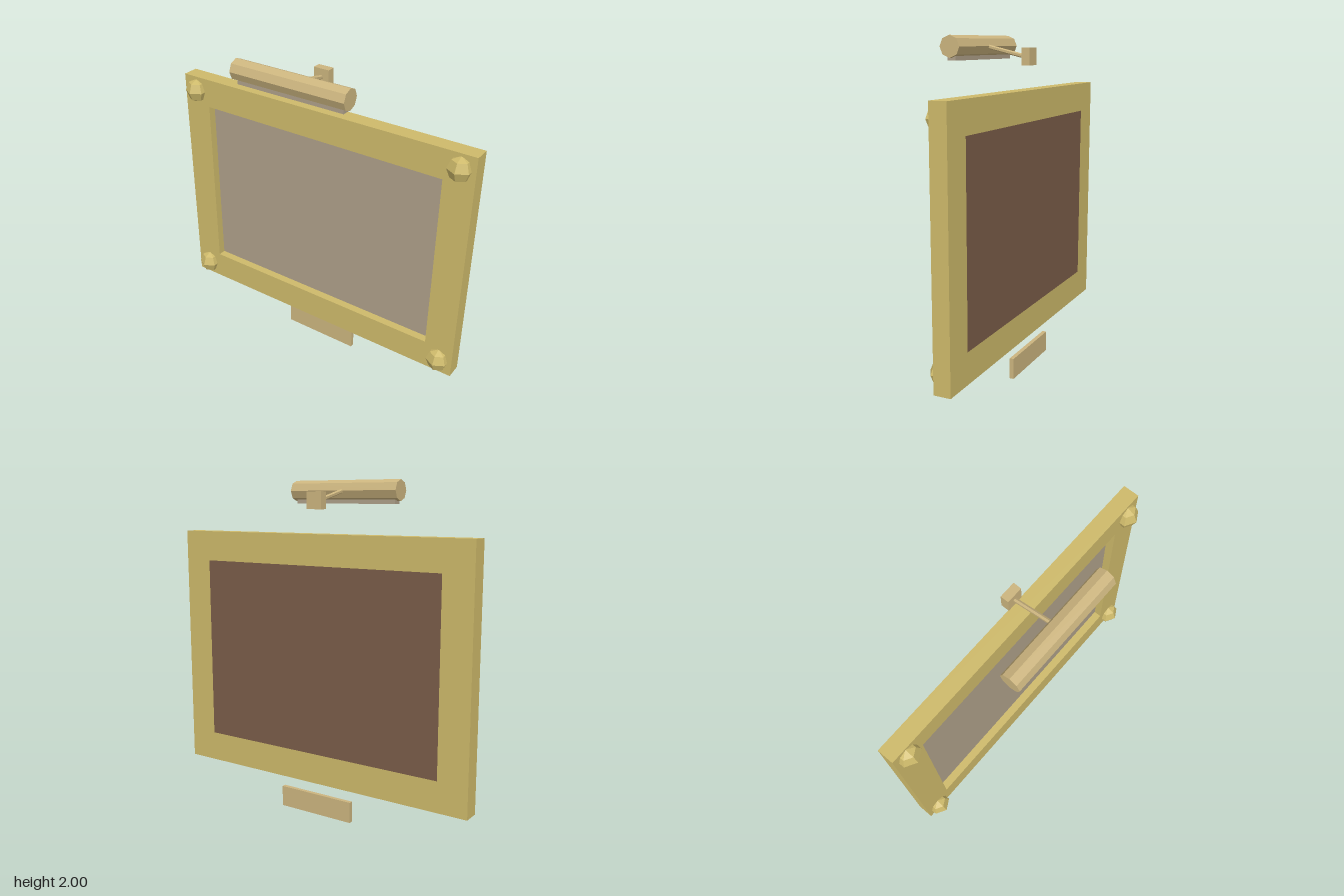
import * as THREE from 'three';

const mat = (name, color) => {
  const m = new THREE.MeshStandardMaterial({ color, flatShading: true });
  m.name = name;
  return m;
};

export function createModel() {
  const gold = mat('gold', 0xcdb96a);
  const brass = mat('brass', 0xcbb47e);
  const canvas = mat('canvas', 0xad9f88);
  const backing = mat('brown backing', 0x7a5c48);

  const model = new THREE.Group();
  model.name = 'framedPictureWithLamp';
  const add = (name, geometry, material, x, y, z) => {
    const mesh = new THREE.Mesh(geometry, material);
    mesh.name = name;
    mesh.position.set(x, y, z);
    model.add(mesh);
    return mesh;
  };
  const box = (name, material, w, h, d, x, y, z) =>
    add(name, new THREE.BoxGeometry(w, h, d), material, x, y, z);

  // Frame: a rectangle with a rectangular opening
  const midY = 0.9425;
  const rect = (path, w, h) => path.moveTo(-w, -h).lineTo(w, -h).lineTo(w, h).lineTo(-w, h).closePath();
  const outline = rect(new THREE.Shape(), 1, 0.7475);
  outline.holes.push(rect(new THREE.Path(), 0.815, 0.565));
  add('frame', new THREE.ExtrudeGeometry(outline, { depth: 0.1, bevelEnabled: false }), gold, 0, midY, -0.2);

  // Picture set into the opening, with its backing flush at the rear
  box('picture', canvas, 1.63, 1.13, 0.005, 0, midY, -0.1525);
  box('backing', backing, 1.63, 1.13, 0.045, 0, midY, -0.1775);

  // Faceted corner knobs
  const knob = new THREE.SphereGeometry(0.075, 6, 4).rotateY(Math.PI / 2);
  for (const x of [-0.908, 0.908])
    for (const y of [0.286, 1.599]) add('cornerKnob', knob, gold, x, y, -0.104);

  // Picture lamp: octagonal shade, light strip, arm and wall mount
  const shade = new THREE.CylinderGeometry(0.0625, 0.0625, 0.746, 8).rotateZ(Math.PI / 2);
  add('lampShade', shade, brass, 0, 1.9375, 0.1375);
  box('lightStrip', canvas, 0.7, 0.05, 0.05, 0, 1.885, 0.1375);
  box('wallMount', brass, 0.1, 0.1, 0.05, 0, 1.88, -0.175);
  const from = new THREE.Vector3(0, 1.875, -0.17);
  const to = new THREE.Vector3(0, 1.945, 0.13);
  const along = to.clone().sub(from);
  const arm = add('lampArm', new THREE.CylinderGeometry(0.0125, 0.0125, along.length(), 6), brass, 0, 0, 0);
  arm.position.copy(from).add(to).multiplyScalar(0.5);
  arm.quaternion.setFromUnitVectors(new THREE.Vector3(0, 1, 0), along.normalize());

  // Caption plate below the frame
  box('captionPlate', brass, 0.5, 0.126, 0.025, 0, 0.063, -0.1875);

  return model;
}
